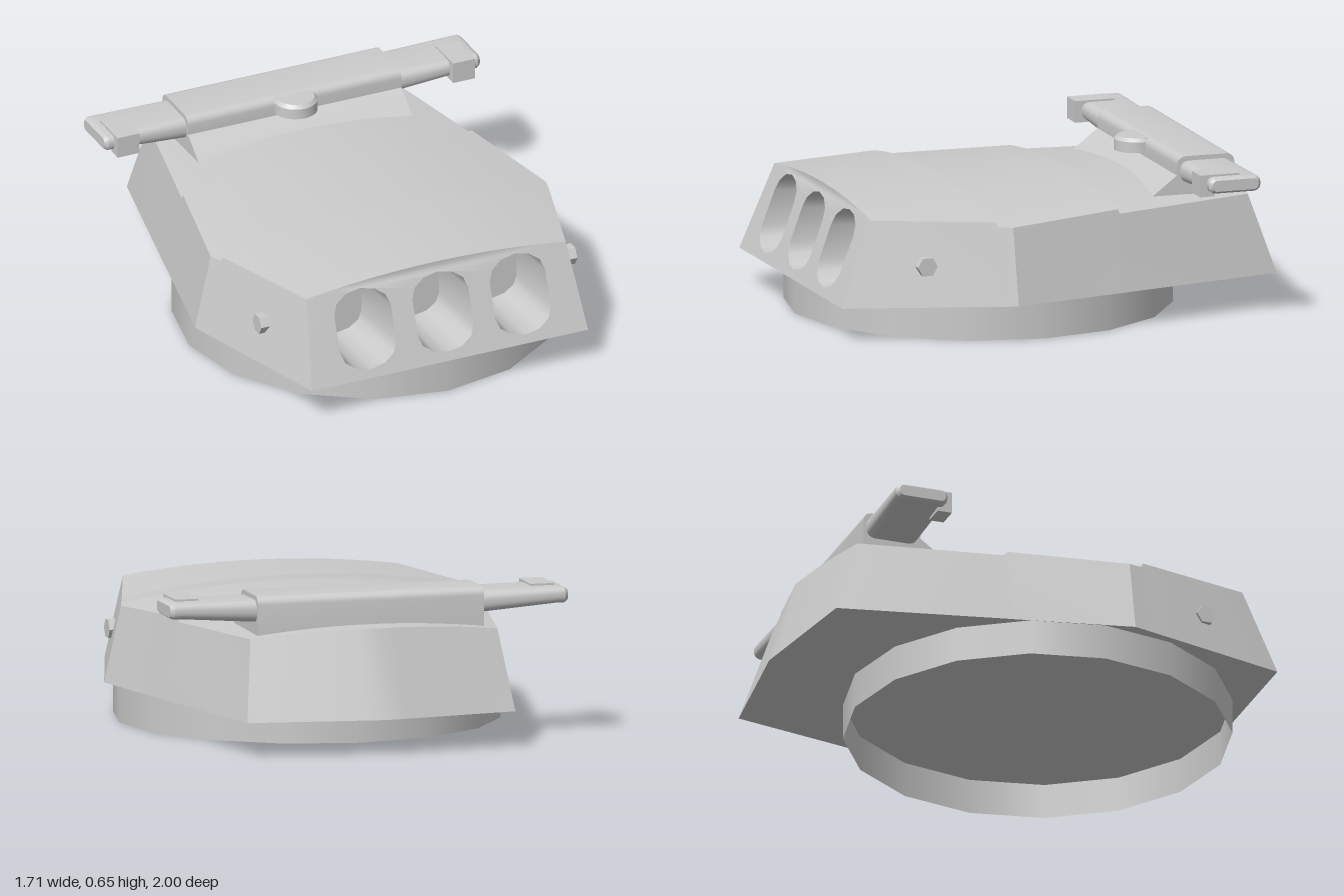
import * as THREE from 'three';
import { toCreasedNormals } from 'three/addons/utils/BufferGeometryUtils.js';

const material = new THREE.MeshStandardMaterial({ color: 0xcccccc });
const openMaterial = new THREE.MeshStandardMaterial({ color: 0xcccccc, side: THREE.DoubleSide });

function add(parent, name, geometry, x = 0, y = 0, z = 0) {
  const mesh = new THREE.Mesh(geometry, material);
  mesh.name = name;
  mesh.position.set(x, y, z);
  parent.add(mesh);
  return mesh;
}

// Surface through rows of [x, y, z] points
function grid(rows, crease = 0.4) {
  const n = rows[0].length, index = [];
  for (let i = 0; i < rows.length - 1; i++) {
    for (let j = 0; j < n - 1; j++) {
      const a = i * n + j, c = a + n;
      index.push(a, a + 1, c, a + 1, c + 1, c);
    }
  }
  const g = new THREE.BufferGeometry();
  g.setAttribute('position', new THREE.Float32BufferAttribute(rows.flat(2), 3));
  g.setIndex(index);
  return toCreasedNormals(g, crease);
}

// Prism along x from a [z, y] outline, centred on x = 0
function prismX(points, width) {
  const shape = new THREE.Shape(points.map(([z, y]) => new THREE.Vector2(-z, y)));
  const g = new THREE.ExtrudeGeometry(shape, { depth: width, bevelEnabled: false });
  g.translate(0, 0, -width / 2).rotateY(Math.PI / 2);
  return toCreasedNormals(g, 0.5);
}

// Rounded rectangle as a closed loop of [u, v] points
function roundedRect(w, h, r, steps = 5) {
  const points = [];
  [[1, 1], [-1, 1], [-1, -1], [1, -1]].forEach(([sx, sy], q) => {
    for (let k = 0; k <= steps; k++) {
      const a = (q + k / steps) * Math.PI / 2;
      points.push([sx * (w / 2 - r) + r * Math.cos(a), sy * (h / 2 - r) + r * Math.sin(a)]);
    }
  });
  points.push(points[0]);
  return points;
}

const FLOOR = 0.15;
const roofY = (h, x) => h - 0.12 * x * x;
// Front plate leans back to a straight top edge at z = 0.86
const frontZ = (x, y) => 1 - 0.14 * (y - FLOOR) / (roofY(0.545, x) - FLOOR);

// Roof stations: z, half width, centre height (close pairs make a step)
const roof = [[0.86, 0.59, 0.545], [0.368, 0.738, 0.556], [0.36, 0.744, 0.537], [0.3, 0.762, 0.537],
  [-0.196, 0.657, 0.539], [-0.204, 0.659, 0.521], [-0.81, 0.53, 0.515]];
// Matching floor stations: z, half width
const floor = [[1, 0.627], [0.37, 0.813], [0.36, 0.816], [0.3, 0.833], [-0.196, 0.728], [-0.204, 0.727],
  [-0.92, 0.575]];
const LAST = roof.length - 1;

function roofPoint(i, t) {
  const [z, w, h] = roof[i], x = t * w;
  return [x, roofY(h, x), i === LAST ? z - 0.075 * (1 - Math.abs(t)) : z];
}
function floorPoint(i, t) {
  const [z, w] = floor[i];
  return [t * w, FLOOR, i === LAST ? z - 0.08 * (1 - Math.abs(t)) : z];
}

function buildHouse() {
  const house = new THREE.Group();
  house.name = 'turretHouse';
  const ts = Array.from({ length: 13 }, (_, j) => j / 6 - 1);
  add(house, 'roof', grid(roof.map((_, i) => ts.map(t => roofPoint(i, t))), 0.2));
  add(house, 'underside', grid(floor.map((_, i) => [1, 0, -1].map(t => floorPoint(i, t)))));

  // Side and back walls
  const path = roof.map((_, i) => [i, 1]);
  ts.slice(1, -1).reverse().forEach(t => path.push([LAST, t]));
  for (let i = LAST; i >= 0; i--) path.push([i, -1]);
  add(house, 'walls', grid([path.map(p => floorPoint(...p)), path.map(p => roofPoint(...p))], 0.35));

  // Sloping front plate with three gun ports
  const front = new THREE.Shape([new THREE.Vector2(-floor[0][1], FLOOR), new THREE.Vector2(floor[0][1], FLOOR),
    ...[...ts].reverse().map(t => new THREE.Vector2(...roofPoint(0, t).slice(0, 2)))]);
  const loop = [];
  for (const s of [1, -1]) {
    for (let k = 0; k <= 6; k++) {
      const a = k / 6 * Math.PI;
      loop.push([s * 0.127 * Math.cos(a), s * (0.072 + 0.088 * Math.sin(a))]);
    }
  }
  for (const cx of [-0.352, 0, 0.352]) {
    const outer = loop.map(([u, v]) => [cx + u, 0.345 + v]);
    const inner = loop.map(([u, v]) => [cx + u * 0.89, 0.338 + v * 0.93]);
    const toShape = points => points.map(p => new THREE.Vector2(...p));
    front.holes.push(new THREE.Path(toShape(outer)));
    add(house, 'gunPort', grid([
      [...outer, outer[0]].map(([x, y]) => [x, y, frontZ(x, y)]),
      [...inner, inner[0]].map(([x, y]) => [x, y, 0.65])], 0.7));
    add(house, 'gunPortBack', new THREE.ShapeGeometry(new THREE.Shape(toShape(inner))), 0, 0, 0.65);
  }
  const plate = new THREE.ShapeGeometry(front);
  const pos = plate.attributes.position;
  for (let i = 0; i < pos.count; i++) pos.setZ(i, frontZ(pos.getX(i), pos.getY(i)));
  plate.computeVertexNormals();
  add(house, 'frontPlate', plate);

  // Hexagonal sight stubs on the sides
  for (const s of [-1, 1]) {
    const stub = new THREE.CylinderGeometry(0.043, 0.043, 0.06, 6).rotateZ(Math.PI / 2);
    add(house, 'sideSight', toCreasedNormals(stub, 0.5), s * 0.688, 0.318, 0.657);
  }
  return house;
}

function buildRangefinder() {
  const finder = new THREE.Group();
  finder.name = 'rangefinder';
  finder.position.z = -0.642;
  // Housing with rounded top, flaring into a sloped pedestal at the front
  const top = roundedRect(0.25, 0.1, 0.035).slice(0, 12).map(([z, y]) => [z, y + 0.599]);
  add(finder, 'housing', prismX([[0.285, 0.45], [0.14, 0.56], [0.125, 0.57], ...top, [-0.125, 0.45]], 0.97));

  // Half-round hood on the front of the housing
  const hood = new THREE.LatheGeometry([[0, 0.585], [0.093, 0.585], [0.093, 0.63], [0.08, 0.645], [0, 0.645]]
    .map(p => new THREE.Vector2(...p)), 24);
  add(finder, 'hood', toCreasedNormals(hood, 0.5), 0, 0, 0.13);
  const neck = new THREE.BoxGeometry(0.16, 0.06, 0.08);
  add(finder, 'hoodNeck', neck, 0, 0.615, 0.09);

  // Tapering arm: x, centre y, height, depth
  const arm = [[0.45, 0.583, 0.094, 0.225], [0.8, 0.597, 0.066, 0.225], [0.838, 0.597, 0.066, 0.225],
    [0.853, 0.597, 0.046, 0.2], [0.853, 0.597, 0.0001, 0.0001]];
  const armGeometry = grid(arm.map(([x, cy, h, d]) =>
    roundedRect(h, d, h * 0.42).map(([y, z]) => [x, cy + y, z])), 0.6);
  // Bracket hooked over the top and front of the arm
  const bracket = prismX([[-0.03, 0.6], [0.08, 0.6], [0.08, 0.547], [0.142, 0.547],
    [0.142, 0.638], [-0.03, 0.638]], 0.1);
  for (const s of [-1, 1]) {
    add(finder, 'arm', armGeometry).rotation.y = s < 0 ? Math.PI : 0;
    add(finder, 'bracket', bracket, s * 0.762);
  }
  return finder;
}

export function createModel() {
  const model = new THREE.Group();
  model.name = 'gunTurret';
  // Round base ring, open underneath
  const base = new THREE.CylinderGeometry(0.803, 0.803, FLOOR, 16, 1, true);
  add(model, 'base', base, 0, FLOOR / 2, 0.18).material = openMaterial;
  model.add(buildHouse(), buildRangefinder());
  return model;
}
